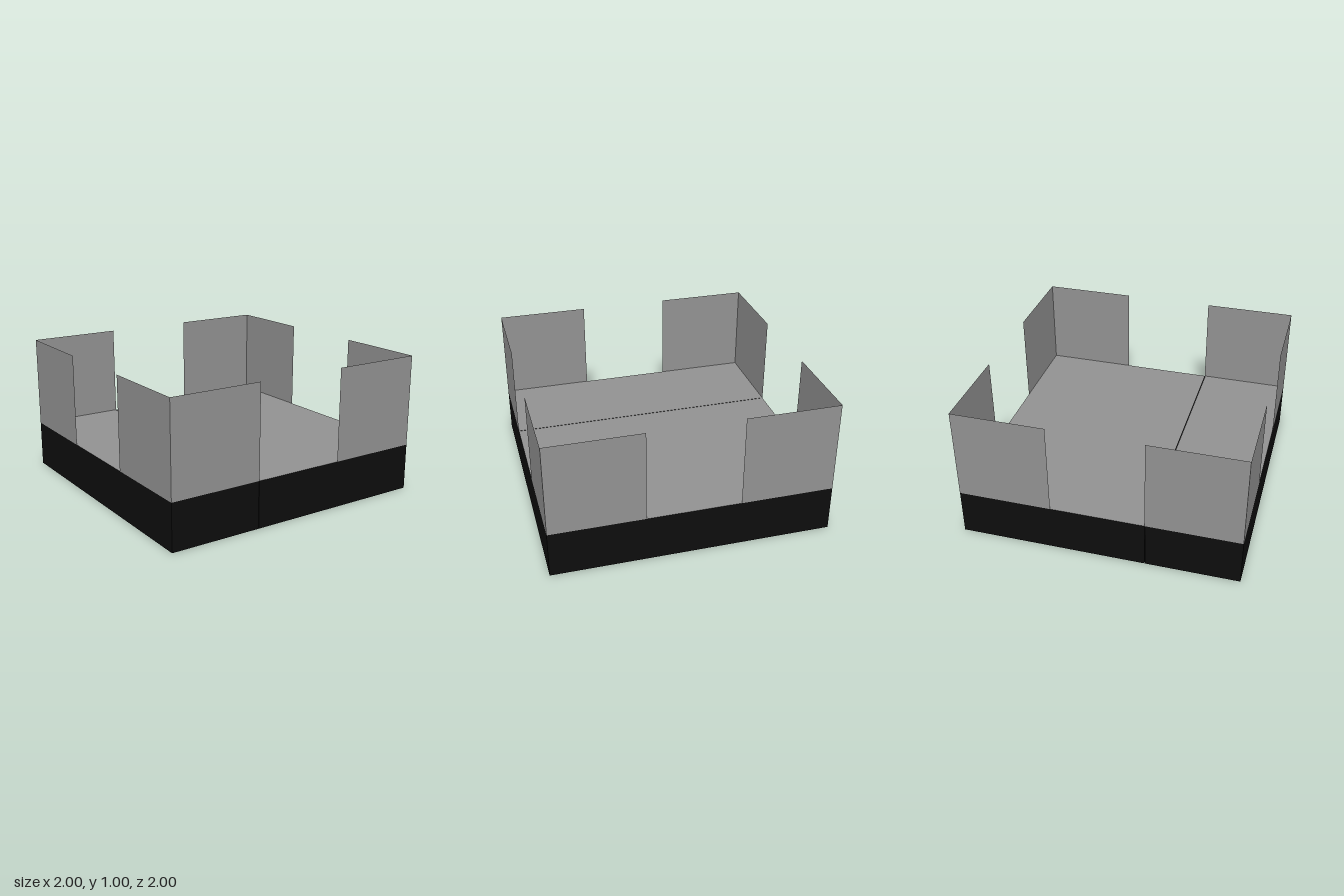
import * as THREE from 'three';

const BASE_H = 0.335; // height of the base
const WALL_H = 0.665; // height of the corner walls
const WALL_W = 0.667; // width of each wall panel

export function createModel() {
  const model = new THREE.Group();
  model.name = 'walledPlatform';

  const grey = new THREE.MeshStandardMaterial({ color: 0x929292, side: THREE.DoubleSide });
  grey.name = 'grey';
  const black = new THREE.MeshStandardMaterial({ color: 0x0d0d0d });
  black.name = 'black';

  // Base: two black blocks with grey floors, parted by a hairline seam
  const addBlock = (name, x0, x1) => {
    const geometry = new THREE.BoxGeometry(x1 - x0, BASE_H, 2);
    const block = new THREE.Mesh(geometry, [black, black, grey, black, black, black]);
    block.name = name;
    block.position.set((x0 + x1) / 2, BASE_H / 2, 0);
    model.add(block);
  };
  addBlock('narrowBaseBlock', -1, -0.338);
  addBlock('wideBaseBlock', -0.334, 1);

  // Corner walls: two thin upright panels meeting at each corner
  const panel = new THREE.PlaneGeometry(WALL_W, WALL_H);
  const inset = 1 - WALL_W / 2;
  for (const sx of [-1, 1]) {
    for (const sz of [-1, 1]) {
      const corner = new THREE.Group();
      corner.name = `${sz > 0 ? 'front' : 'back'}${sx > 0 ? 'Left' : 'Right'}CornerWall`;

      const across = new THREE.Mesh(panel, grey);
      across.name = 'acrossPanel';
      across.position.set(sx * inset, BASE_H + WALL_H / 2, sz);
      across.rotation.y = sz > 0 ? 0 : Math.PI;

      const side = new THREE.Mesh(panel, grey);
      side.name = 'sidePanel';
      side.position.set(sx, BASE_H + WALL_H / 2, sz * inset);
      side.rotation.y = sx * Math.PI / 2;

      corner.add(across, side);
      model.add(corner);
    }
  }
  return model;
}
